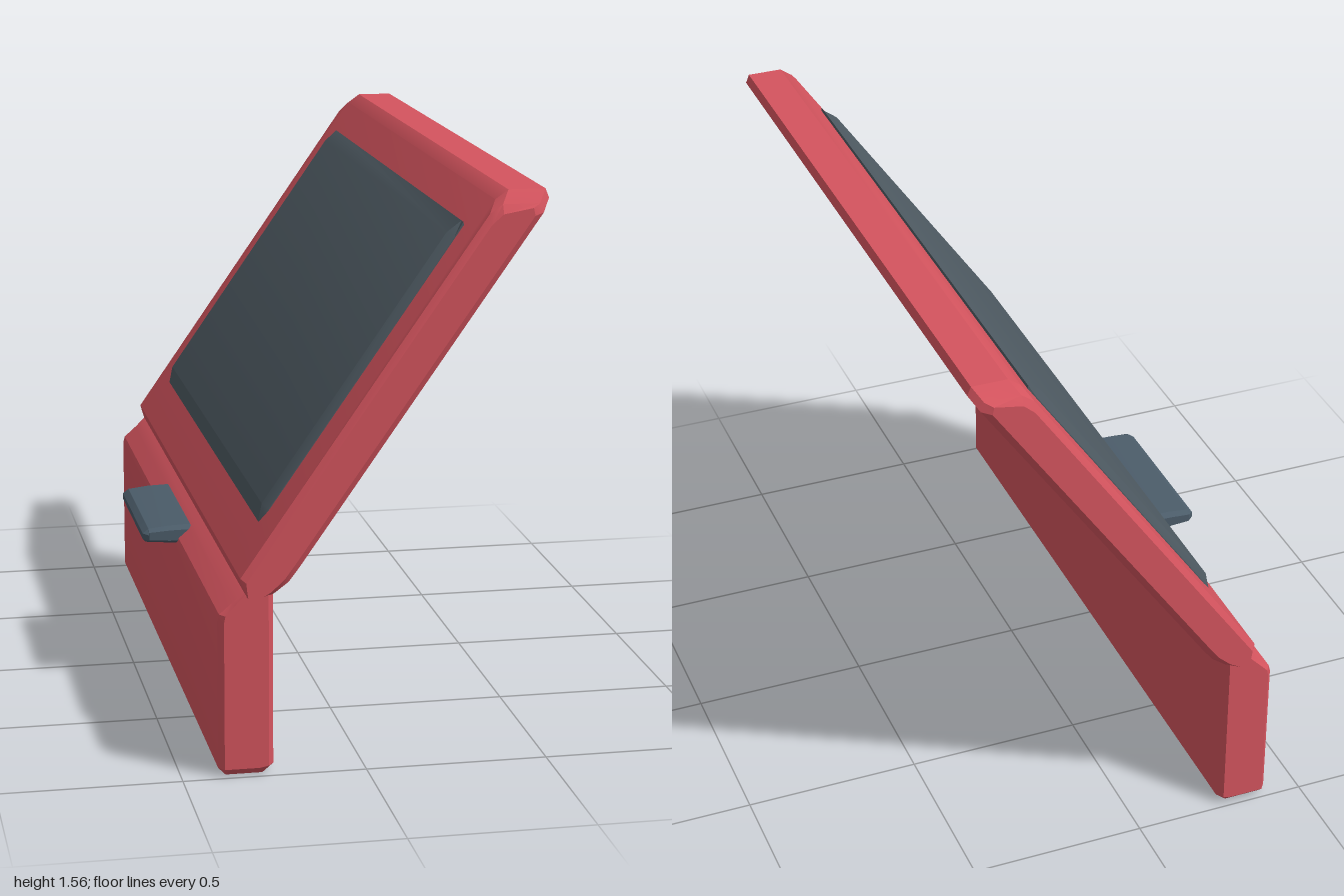
import * as THREE from 'three';
import { toCreasedNormals } from 'three/addons/utils/BufferGeometryUtils.js';

// Solid through counter-clockwise xy outlines, each section being [z, points], z ascending
function loft(sections) {
  const pos = [];
  const n = sections[0][1].length;
  const put = (s, i) => {
    const [z, pts] = sections[s];
    pos.push(pts[i % n][0], pts[i % n][1], z);
  };
  for (let s = 0; s < sections.length - 1; s++) {
    for (let i = 0; i < n; i++) {
      put(s, i); put(s, i + 1); put(s + 1, i + 1);
      put(s, i); put(s + 1, i + 1); put(s + 1, i);
    }
  }
  const last = sections.length - 1;
  const cap = (s) => THREE.ShapeUtils.triangulateShape(
    sections[s][1].map(([x, y]) => new THREE.Vector2(x, y)), []);
  for (const [a, b, c] of cap(last)) { put(last, a); put(last, b); put(last, c); }
  for (const [a, b, c] of cap(0)) { put(0, a); put(0, c); put(0, b); }
  const geo = new THREE.BufferGeometry();
  geo.setAttribute('position', new THREE.Float32BufferAttribute(pos, 3));
  return toCreasedNormals(geo, 0.4);
}

// Mirrored sections: steps are [z, points] from the end inwards
function mirrored(steps) {
  return loft([
    ...steps.map(([z, p]) => [-z, p]),
    ...steps.slice().reverse().map(([z, p]) => [z, p]),
  ]);
}

export function createModel() {
  const group = new THREE.Group();
  const material = (name, color) => {
    const m = new THREE.MeshStandardMaterial({ color });
    m.name = name;
    return m;
  };
  const red = material('red paint', 0xd4545e);
  const glass = material('dark glass', 0x4e5a62);
  const grey = material('handle grey', 0x4b5c69);
  const add = (name, geo, mat) => {
    const mesh = new THREE.Mesh(geo, mat);
    mesh.name = name;
    group.add(mesh);
  };

  // Upright lower panel with softened ends
  const panel = [
    [-0.38, 0], [-0.28, 0], [-0.25, 0.025], [-0.25, 0.515], [-0.29, 0.53],
    [-0.33, 0.505], [-0.36, 0.48], [-0.395, 0.45], [-0.4, 0.43], [-0.4, 0.02],
  ];
  const panelEnd = panel.map(([x, y]) => [-0.325 + (x + 0.325) * 0.8, Math.max(y, 0.02)]);
  add('lowerPanel', mirrored([[0.99, panelEnd], [0.97, panel]]), red);

  // Leaning window frame, thinned at its sides and cut at its top corners
  const frame = [
    [-0.29, 0.49], [-0.25, 0.505], [-0.21, 0.535], [-0.18, 0.575], [0.49, 1.535],
    [0.48, 1.56], [0.38, 1.56], [0.345, 1.535], [-0.34, 0.55], [-0.335, 0.53], [-0.325, 0.5],
  ];
  const frameAt = (thin, drop) => frame.map(([x, y]) => {
    const s = ((x - 0.078) * 0.82 - (y - 1.05) * 0.572) * thin;
    const d = y > 1.5 ? drop : 0;
    return [x - 0.82 * s - 0.572 * d, y + 0.572 * s - 0.82 * d];
  });
  add('windowFrame', mirrored([
    [1, frameAt(0.3, 0.06)], [0.985, frameAt(0, 0.04)], [0.95, frame],
  ]), red);

  // Raised outer pane
  const pane = [[-0.25, 0.66], [0.29, 1.44], [0.285, 1.46], [0.245, 1.43], [-0.255, 0.71], [-0.265, 0.66]];
  const paneEnd = pane.map(([x, y], i) => (i > 2 ? [x + 0.016, y - 0.011] : [x, y]));
  add('outerPane', mirrored([[0.85, paneEnd], [0.83, pane]]), glass);

  // Thin inner pane on the underside of the frame
  const underX = (y) => -0.18 + (y - 0.575) * (0.67 / 0.96);
  const inner = [
    [underX(0.69), 0.69], [underX(0.69) + 0.005, 0.69],
    [underX(1.44) + 0.005, 1.44], [underX(1.44), 1.44],
  ];
  add('innerPane', mirrored([[0.845, inner]]), glass);

  // Handle ledge
  const handle = [
    [-0.49, 0.44], [-0.42, 0.434], [-0.36, 0.43], [-0.345, 0.47],
    [-0.36, 0.487], [-0.42, 0.485], [-0.48, 0.478], [-0.497, 0.465], [-0.497, 0.448],
  ];
  const handleEnd = handle.map(([x, y]) => [Math.max(x, -0.48), 0.458 + (y - 0.458) * 0.6]);
  add('handle', mirrored([[0.238, handleEnd], [0.222, handle]]), grey);

  return group;
}
